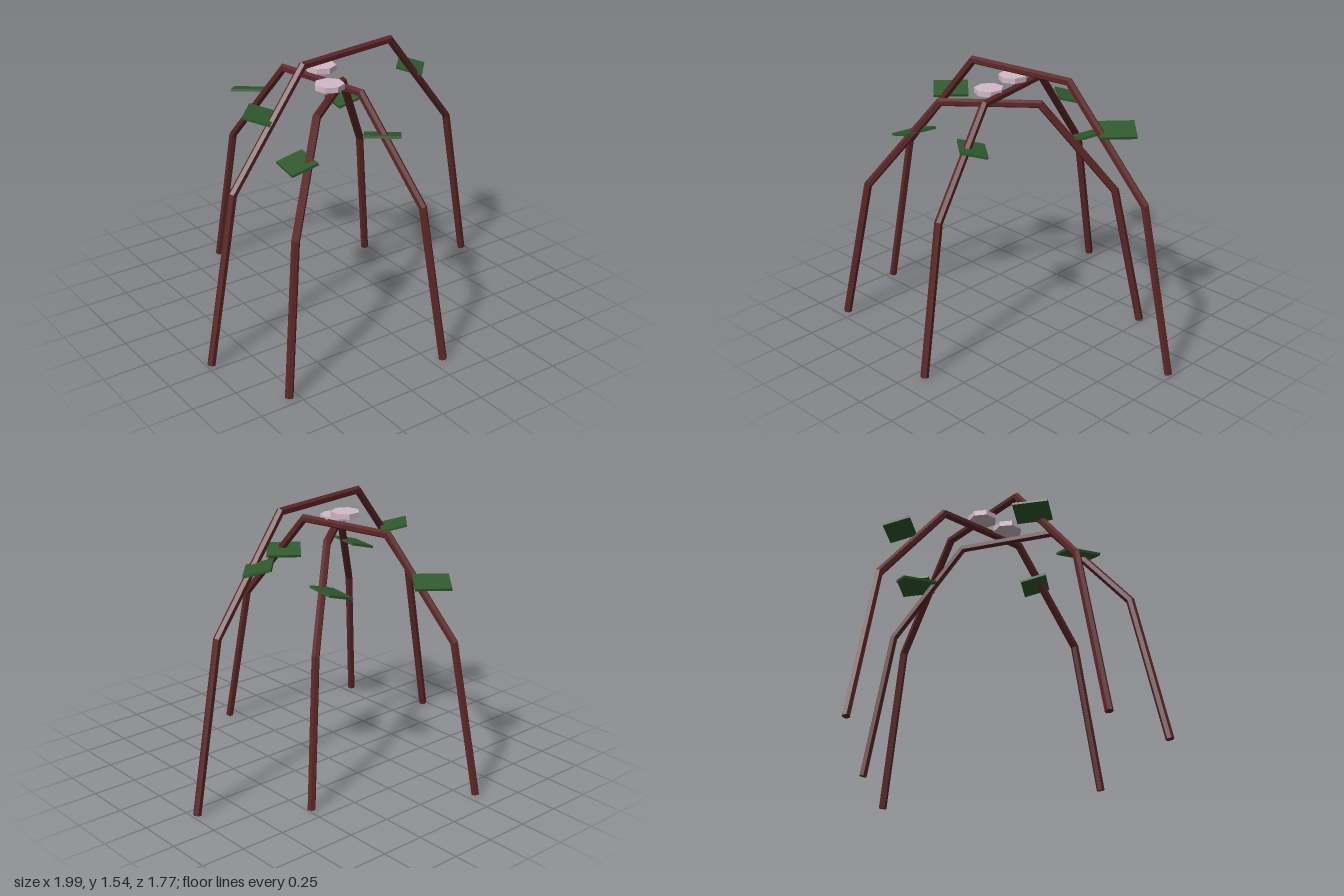
import * as THREE from 'three';

const bark = new THREE.MeshStandardMaterial({ color: 0x5c2626 });
bark.name = 'reddish brown bark';
const leafGreen = new THREE.MeshStandardMaterial({ color: 0x2f5a2e });
leafGreen.name = 'leaf green';
const palePink = new THREE.MeshStandardMaterial({ color: 0xd2bac6 });
palePink.name = 'pale pink';

const RADIUS = 0.0225, SIDES = 6;

// Faceted, mitred rod through points that lie in one vertical plane with horizontal normal n
function mitredRod(points, n) {
  const pos = [], idx = [];
  const last = points.length - 1;
  points.forEach((p, i) => {
    const before = points[i].clone().sub(points[Math.max(i - 1, 0)]).normalize();
    const after = points[Math.min(i + 1, last)].clone().sub(points[i]).normalize();
    const t = before.clone().add(after).normalize();
    const stretch = 1 / t.dot(i < last ? after : before);
    const b = new THREE.Vector3().crossVectors(n, t);
    for (let j = 0; j < SIDES; j++) {
      const a = (j / SIDES) * Math.PI * 2;
      const v = p.clone()
        .addScaledVector(b, Math.cos(a) * RADIUS * stretch)
        .addScaledVector(n, Math.sin(a) * RADIUS);
      pos.push(v.x, v.y, v.z);
    }
  });
  for (let i = 0; i < last; i++) {
    for (let j = 0; j < SIDES; j++) {
      const k = (j + 1) % SIDES;
      const a = i * SIDES + j, b = i * SIDES + k;
      idx.push(a, b, a + SIDES, b, b + SIDES, a + SIDES);
    }
  }
  // End caps
  const e = last * SIDES;
  for (let j = 1; j < SIDES - 1; j++) idx.push(0, j + 1, j, e, e + j, e + j + 1);
  const g = new THREE.BufferGeometry();
  g.setAttribute('position', new THREE.Float32BufferAttribute(pos, 3));
  g.setIndex(idx);
  const flat = g.toNonIndexed();
  flat.computeVertexNormals();
  return flat;
}

// Heptagonal disc with flat faces
function blossomGeometry() {
  const g = new THREE.CylinderGeometry(0.081, 0.081, 0.03, 7).toNonIndexed();
  g.computeVertexNormals();
  return g;
}

// Each arch: centre, half span to its +x foot, height, leaf yaw and tilt, optional blossom
const arches = [
  { name: 'tallArch', x: 0, z: 0.07, hx: 0.975, hz: -0.137, h: 1.515, yaw: -0.74, tilt: -0.25 },
  { name: 'diagonalArch', x: -0.16, z: 0.14, hx: 0.643, hz: -0.557, h: 1.31, yaw: -0.15, tilt: 0.27,
    blossom: [-0.165, 1.382, 0.14] },
  { name: 'lengthwiseArch', x: -0.12, z: 0, hx: 0.185, hz: 0.865, h: 1.363, yaw: 0.91, tilt: -0.25,
    blossom: [-0.12, 1.435, 0] },
];

export function createModel() {
  const model = new THREE.Group();
  model.name = 'rootArches';
  const leafGeo = new THREE.BoxGeometry(0.15, 0.014, 0.195);
  const blossomGeo = blossomGeometry();

  for (const s of arches) {
    const group = new THREE.Group();
    group.name = s.name;
    const at = (f, y) => new THREE.Vector3(s.x + s.hx * f, y, s.z + s.hz * f);

    // Root: foot, knee, shoulder, mirrored to the other side
    const half = [[1, 0.004], [0.81, s.h * 0.62], [0.32, s.h]];
    const path = [
      ...half.map(([f, y]) => at(-f, y)),
      ...half.slice().reverse().map(([f, y]) => at(f, y)),
    ];
    const normal = new THREE.Vector3(-s.hz, 0, s.hx).normalize();
    const root = new THREE.Mesh(mitredRod(path, normal), bark);
    root.name = 'root';
    group.add(root);

    // A leaf beside the middle of each sloping upper section
    for (const side of [-1, 1]) {
      const leaf = new THREE.Mesh(leafGeo, leafGreen);
      leaf.name = side < 0 ? 'rightLeaf' : 'leftLeaf';
      leaf.position.copy(at(side * 0.565, s.h * 0.81 + 0.055));
      leaf.position.z -= 0.08;
      leaf.rotation.set(0, s.yaw, s.tilt);
      group.add(leaf);
    }

    // Blossom floating above the crown
    if (s.blossom) {
      const blossom = new THREE.Mesh(blossomGeo, palePink);
      blossom.name = 'blossom';
      blossom.position.set(...s.blossom);
      group.add(blossom);
    }
    model.add(group);
  }
  return model;
}
